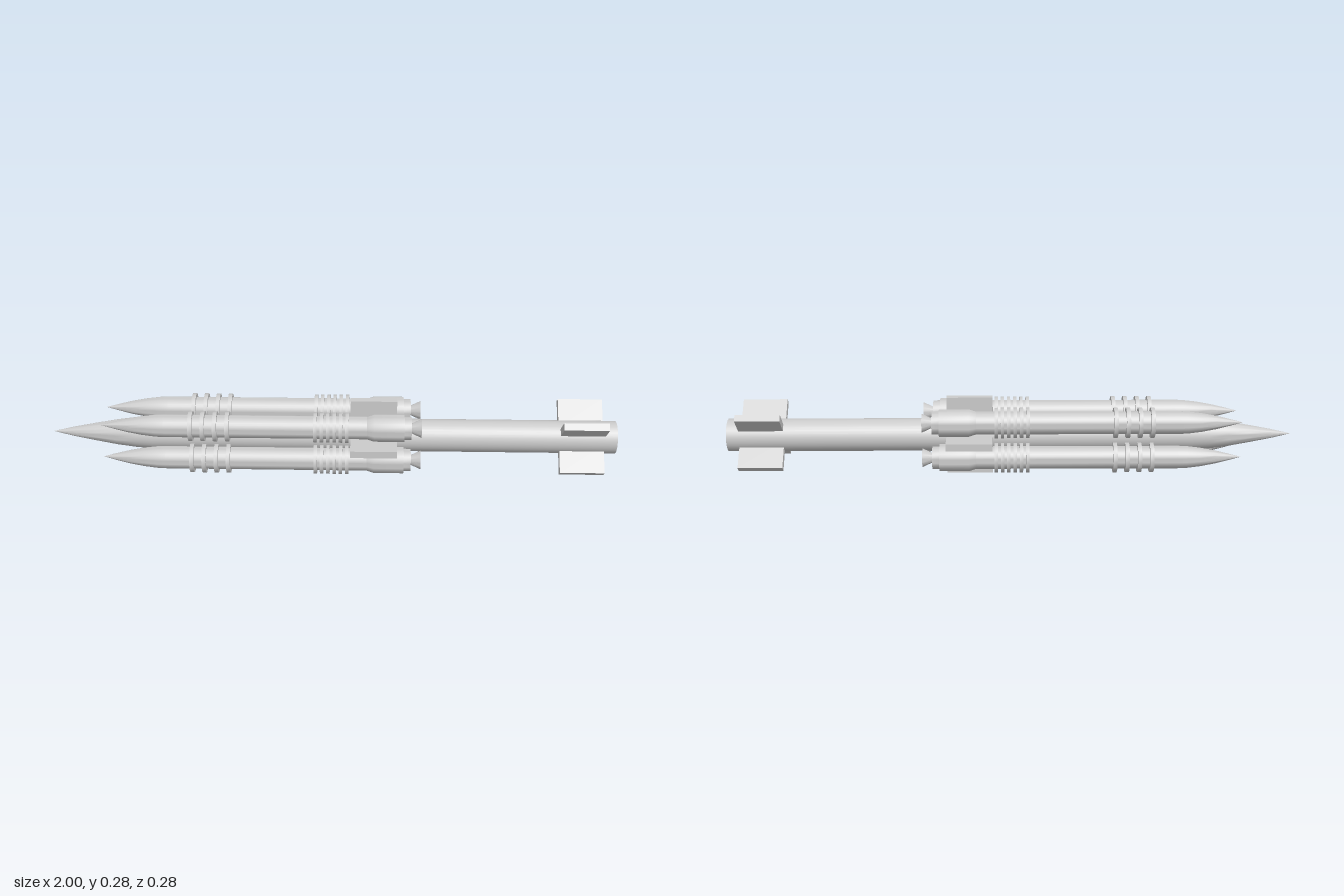
import * as THREE from 'three';
import { toCreasedNormals } from 'three/addons/utils/BufferGeometryUtils.js';

const material = new THREE.MeshStandardMaterial({ color: 0xcccccc });
const AXIS_Y = 0.141;

function add(parent, name, geometry) {
  const mesh = new THREE.Mesh(geometry, material);
  mesh.name = name;
  parent.add(mesh);
  return mesh;
}

// Solid of revolution about the x axis from [x, radius] pairs
function turned(profile, sides = 32) {
  const points = profile.map(([x, r]) => new THREE.Vector2(r, x));
  const geometry = new THREE.LatheGeometry(points, sides).rotateZ(-Math.PI / 2);
  return toCreasedNormals(geometry, 0.5);
}

function ring(parent, name, x, width) {
  const r = 0.0535;
  add(parent, name, turned([[x - width / 2, 0], [x - width / 2, r], [x + width / 2, r], [x + width / 2, 0]], 16));
}

// Four flat fins around the main axis
function finSet(parent, name, x0, x1, tip, startAngle) {
  for (let i = 0; i < 4; i++) {
    const geometry = new THREE.BoxGeometry(x1 - x0, tip - 0.03, 0.026);
    geometry.translate((x0 + x1) / 2, (tip + 0.03) / 2, 0);
    add(parent, name, geometry).rotation.x = startAngle + i * Math.PI / 2;
  }
}

function createBooster() {
  const booster = new THREE.Group();
  booster.name = 'booster';
  add(booster, 'boosterBody', turned([
    [-0.815, 0], [-0.77, 0.012], [-0.72, 0.024], [-0.67, 0.033], [-0.62, 0.039], [-0.59, 0.04], [0.15, 0.04],
  ]));
  // Wider rear skirt with a stepped end
  add(booster, 'rearSkirt', turned([
    [0.12, 0.04], [0.145, 0.048], [0.25, 0.048], [0.25, 0.04], [0.275, 0.04], [0.275, 0],
  ]));
  add(booster, 'nozzle', turned([[0.26, 0.014], [0.275, 0.017], [0.31, 0.033], [0.31, 0]]));
  // Spaced front bands and a tight row of rear ribs
  for (let i = 0; i < 4; i++) ring(booster, 'frontBand', -0.497 + i * 0.043, 0.014);
  for (let i = 0; i < 6; i++) ring(booster, 'rearRib', -0.061 + i * 0.0222, 0.012);
  return booster;
}

export function createModel() {
  const model = new THREE.Group();
  model.name = 'rocket';
  const assembly = new THREE.Group();
  assembly.name = 'rocketAssembly';
  assembly.position.y = AXIS_Y;
  model.add(assembly);

  // Long core with pointed nose and flat tail
  add(assembly, 'coreBody', turned([
    [-1, 0], [-0.93, 0.016], [-0.85, 0.031], [-0.77, 0.045], [-0.7, 0.054], [-0.64, 0.058], [1, 0.058], [1, 0],
  ]));

  finSet(assembly, 'middleFin', 0.062, 0.225, 0.141, 0);
  finSet(assembly, 'tailFin', 0.8, 0.957, 0.135, Math.PI / 4);

  for (const y of [-1, 1]) {
    for (const z of [-1, 1]) {
      const booster = createBooster();
      booster.position.set(0, y * 0.0645, z * 0.0645);
      assembly.add(booster);
    }
  }
  return model;
}
